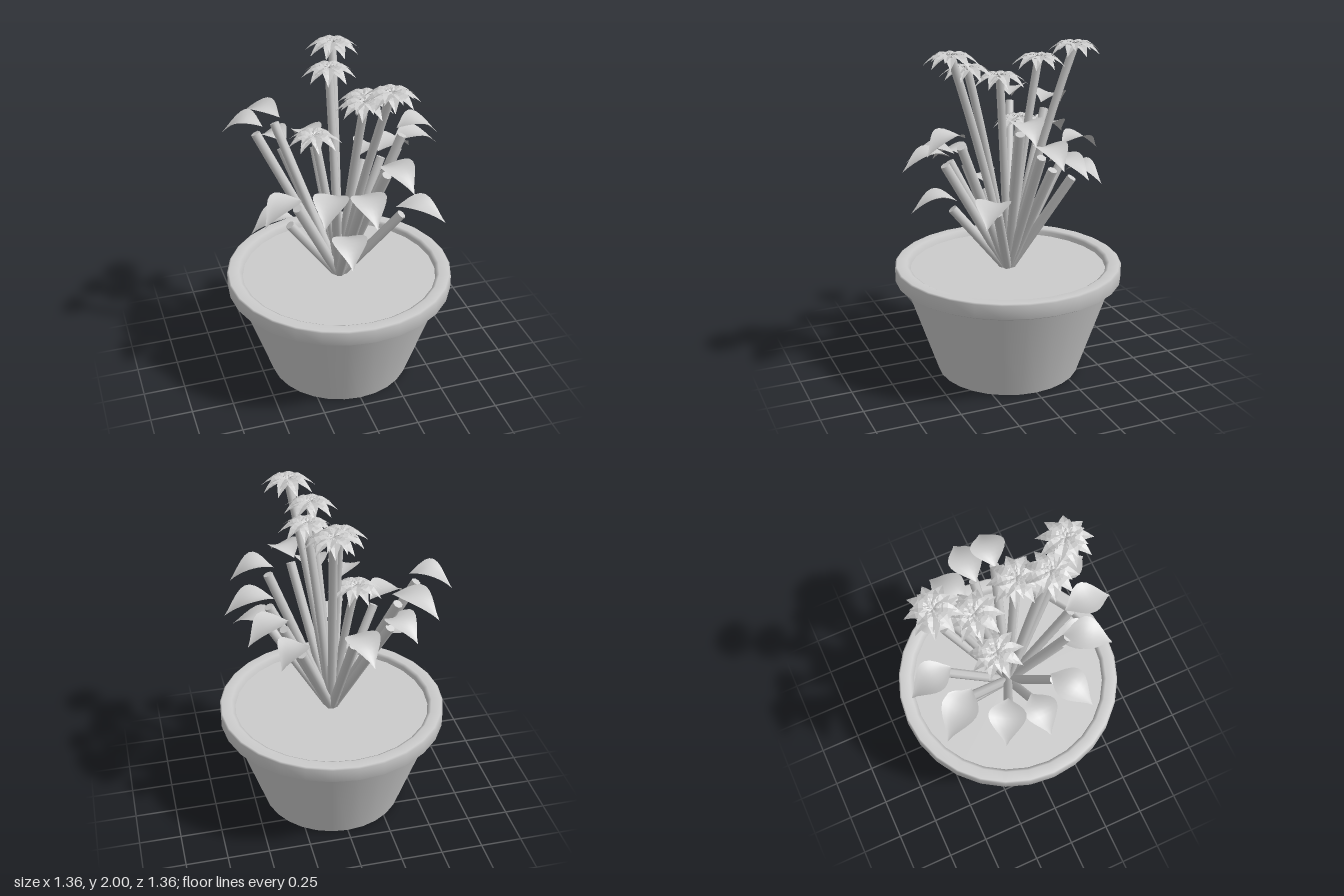
import * as THREE from 'three';

const grey = new THREE.MeshStandardMaterial({ color: 0xcccccc });
const leafMat = new THREE.MeshStandardMaterial({ color: 0xcccccc, side: THREE.DoubleSide });
const petalMat = new THREE.MeshStandardMaterial({ color: 0xcccccc, side: THREE.DoubleSide, flatShading: true });
const SOIL_Y = 0.645;
const SIDES = 28;

function add(parent, name, geometry, material = grey) {
  const mesh = new THREE.Mesh(geometry, material);
  mesh.name = name;
  parent.add(mesh);
  return mesh;
}

const lathe = (points) =>
  new THREE.LatheGeometry(points.map(([r, y]) => new THREE.Vector2(r, y)), SIDES);

// Pointed blade growing along +x: arched, drooping at the tip, edges folded upwards
function blade({ length, halfWidth, rise, drop, fold, rows, cols, widest }) {
  const geometry = new THREE.PlaneGeometry(1, 1, rows, cols);
  const p = geometry.attributes.position;
  const power = Math.log(0.5) / Math.log(widest);
  for (let i = 0; i < p.count; i++) {
    const t = p.getX(i) + 0.5;
    const s = p.getY(i) * 2;
    const w = Math.pow(Math.max(0, Math.sin(Math.PI * Math.pow(t, power))), 1.35);
    const y = rise * Math.sin(Math.PI * t) - drop * t + fold * w * s * s;
    p.setXYZ(i, length * t, y, -s * halfWidth * w);
  }
  geometry.computeVertexNormals();
  return geometry;
}

// Straight, flat-ended stalk from the middle of the soil
function leafStem(parent, end) {
  const start = new THREE.Vector3(0, SOIL_Y - 0.02, 0);
  const dir = end.clone().sub(start);
  const mesh = add(parent, 'leafStem', new THREE.CylinderGeometry(0.028, 0.028, dir.length(), 8));
  mesh.position.copy(start).addScaledVector(dir, 0.5);
  mesh.quaternion.setFromUnitVectors(new THREE.Vector3(0, 1, 0), dir.normalize());
}

// Flower stem leaning further outwards towards its top
function flowerStem(parent, x, y, z) {
  const curve = new THREE.QuadraticBezierCurve3(
    new THREE.Vector3(0, SOIL_Y - 0.02, 0),
    new THREE.Vector3(x * 0.4, (SOIL_Y + y) / 2, z * 0.4),
    new THREE.Vector3(x, y, z));
  add(parent, 'flowerStem', new THREE.TubeGeometry(curve, 8, 0.025, 8));
}

// Rings of petals: count, length, half width, start height, rise, drop
const PETAL_RINGS = [
  [9, 0.16, 0.033, -0.03, 0.033, 0.03],
  [8, 0.125, 0.029, -0.018, 0.026, 0.012],
  [7, 0.08, 0.02, -0.01, 0.012, 0.004],
  [6, 0.04, 0.012, -0.008, 0.008, -0.002],
];

function flower(x, top, z, turn) {
  const plant = new THREE.Group();
  plant.name = 'flower';
  flowerStem(plant, x, top - 0.03, z);
  const head = new THREE.Group();
  head.name = 'flowerHead';
  head.position.set(x, top - 0.012, z);
  head.rotation.y = turn;
  plant.add(head);
  PETAL_RINGS.forEach(([count, length, halfWidth, y, rise, drop], ring) => {
    const geometry = blade({ length, halfWidth, rise, drop, fold: 0.008, rows: 5, cols: 2, widest: 0.48 });
    for (let i = 0; i < count; i++) {
      const petal = add(head, 'petal', geometry, petalMat);
      petal.position.y = y;
      petal.rotation.y = (i / count) * Math.PI * 2 + ring * 0.37;
    }
  });
  return plant;
}

// Leaf from its base (bx, bz) to its tip (tx, ty, tz), on its own stem
function leafStalk([bx, bz, tx, tz, ty]) {
  const plant = new THREE.Group();
  plant.name = 'leafStalk';
  const drop = 0.06;
  const baseY = ty + drop;
  leafStem(plant, new THREE.Vector3(bx * 1.1, baseY - 0.045, bz * 1.1));
  const geometry = blade({
    length: Math.hypot(tx - bx, tz - bz), halfWidth: 0.1,
    rise: 0.062, drop, fold: 0.025, rows: 10, cols: 6, widest: 0.46,
  });
  const leaf = add(plant, 'leaf', geometry, leafMat);
  leaf.position.set(bx, baseY, bz);
  leaf.rotation.y = -Math.atan2(tz - bz, tx - bx);
  return plant;
}

export function createModel() {
  const model = new THREE.Group();
  model.name = 'pottedPlant';

  // Tapered pot with a flat bottom
  add(model, 'potWall', lathe([[0.43, 0], [0.63, 0.59]]));
  add(model, 'potBottom', new THREE.CircleGeometry(0.43, SIDES)).rotation.set(Math.PI / 2, 0, Math.PI / 2);

  // Thick rim, softly shaded around its square section
  add(model, 'rim', lathe([
    [0.615, 0.57], [0.655, 0.58], [0.68, 0.595], [0.68, 0.675], [0.67, 0.683],
    [0.61, 0.683], [0.59, 0.67], [0.582, 0.6],
  ]));
  const soil = add(model, 'soil', new THREE.CircleGeometry(0.592, SIDES));
  soil.rotation.set(-Math.PI / 2, 0, Math.PI / 2);
  soil.position.y = SOIL_Y;

  // Flowers: x, top, z
  [
    [0.08, 2.0, -0.38], [0, 1.925, -0.19], [-0.11, 1.55, -0.12],
    [0.12, 1.86, 0.1], [0.06, 1.905, 0.27], [0.16, 2.0, 0.4],
  ].forEach(([x, y, z], i) => model.add(flower(x, y, z, i * 0.9)));

  // Leaves: base x, base z, tip x, tip z, tip height
  [
    [-0.26, -0.33, -0.46, -0.56, 1.51], [-0.23, -0.31, -0.36, -0.52, 1.35],
    [-0.4, -0.18, -0.62, -0.29, 1.54], [-0.28, 0.02, -0.54, 0.03, 1.03],
    [-0.27, 0.14, -0.52, 0.29, 1.21], [-0.11, 0.29, -0.25, 0.54, 1.29],
    [-0.05, 0.3, -0.1, 0.57, 1.02], [0.01, 0.36, 0.01, 0.65, 1.31],
    [0.15, 0.32, 0.24, 0.58, 1.45], [0.29, 0.18, 0.535, 0.35, 1.09],
    [0.32, 0.07, 0.57, 0.08, 1.54], [0.34, -0.04, 0.63, -0.06, 1.4],
    [0.28, -0.13, 0.535, -0.26, 1.3], [0.22, -0.27, 0.38, -0.42, 1.22],
    [-0.03, -0.36, -0.09, -0.63, 1.3],
  ].forEach((leaf) => model.add(leafStalk(leaf)));

  return model;
}
